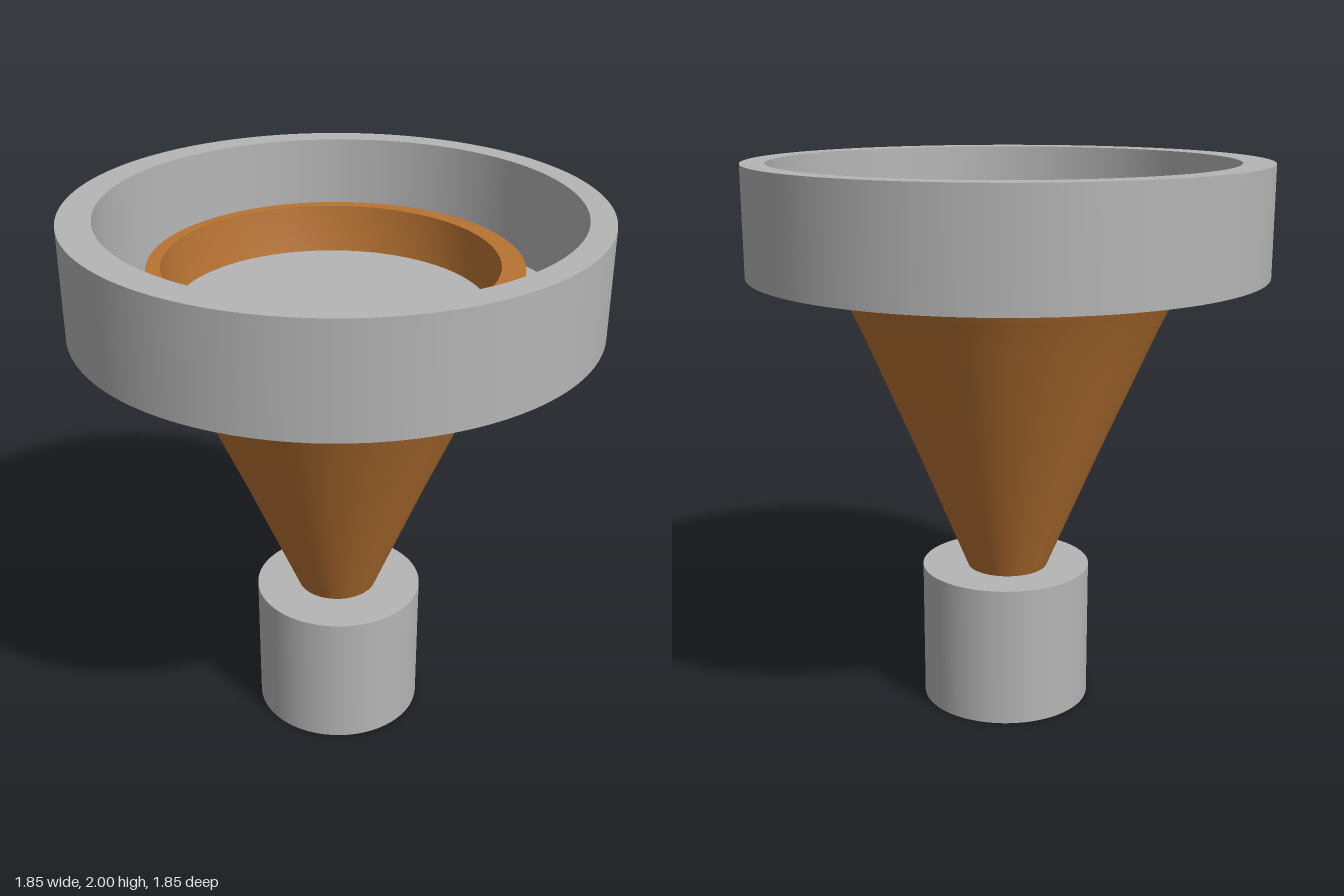
import * as THREE from 'three';
import { mergeGeometries } from 'three/addons/utils/BufferGeometryUtils.js';

// Smooth round surface through sections [radius, y, centreX, centreZ]
function surface(sections) {
  const geo = new THREE.LatheGeometry(sections.map(([r, y]) => new THREE.Vector2(r, y)), 96);
  const pos = geo.attributes.position;
  for (let i = 0; i < pos.count; i++) {
    const [, , cx = 0, cz = 0] = sections[i % sections.length];
    pos.setX(i, pos.getX(i) + cx);
    pos.setZ(i, pos.getZ(i) + cz);
  }
  return geo;
}

// One surface per pair of sections, so every edge stays sharp
function turned(sections) {
  return mergeGeometries(sections.slice(1).map((s, i) => surface([sections[i], s])));
}

export function createModel() {
  const group = new THREE.Group();
  const grey = new THREE.MeshStandardMaterial({ name: 'grey metal', color: 0xb5b5b5 });
  const copper = new THREE.MeshStandardMaterial({ name: 'copper', color: 0xb87333 });
  const add = (name, geo, material) => {
    const mesh = new THREE.Mesh(geo, material);
    mesh.name = name;
    group.add(mesh);
  };

  // Base socket with a bore in its underside
  const bx = 0.005, bz = -0.012;
  add('baseSocket', turned([
    [0, 0.4, bx, bz], [0.18, 0.4, bx, bz], [0.18, 0, bx, bz], [0.31, 0, bx, bz],
    [0.31, 0.515, bx, bz], [0, 0.515, bx, bz],
  ]), grey);

  // Flared funnel: outside, rim and slightly off-centre inside
  const rim = [0.647, 1.8, -0.015, -0.032];
  const lip = [0.583, 1.8, -0.037, -0.042];
  add('funnel', mergeGeometries([
    surface([
      [0.135, 0.49, -0.005, -0.022], [0.147, 0.515, -0.005, -0.022], [0.34, 0.98, -0.01, -0.024],
      [0.535, 1.43, -0.014, -0.025], [0.583, 1.53, -0.015, -0.026], [0.62, 1.61, -0.015, -0.027],
      [0.641, 1.7, -0.015, -0.03], rim,
    ]),
    surface([rim, lip]),
    surface([lip, [0.573, 1.71, -0.036, -0.041], [0.555, 1.62, -0.035, -0.04]]),
  ]), copper);

  // Shallow cup around the funnel mouth
  const cx = 0.01, cz = -0.015;
  add('cup', turned([
    [0, 1.612], [0.923, 1.612], [0.923, 2], [0.822, 2, cx, cz],
    [0.817, 1.632, cx, cz], [0, 1.632, cx, cz],
  ]), grey);

  return group;
}
